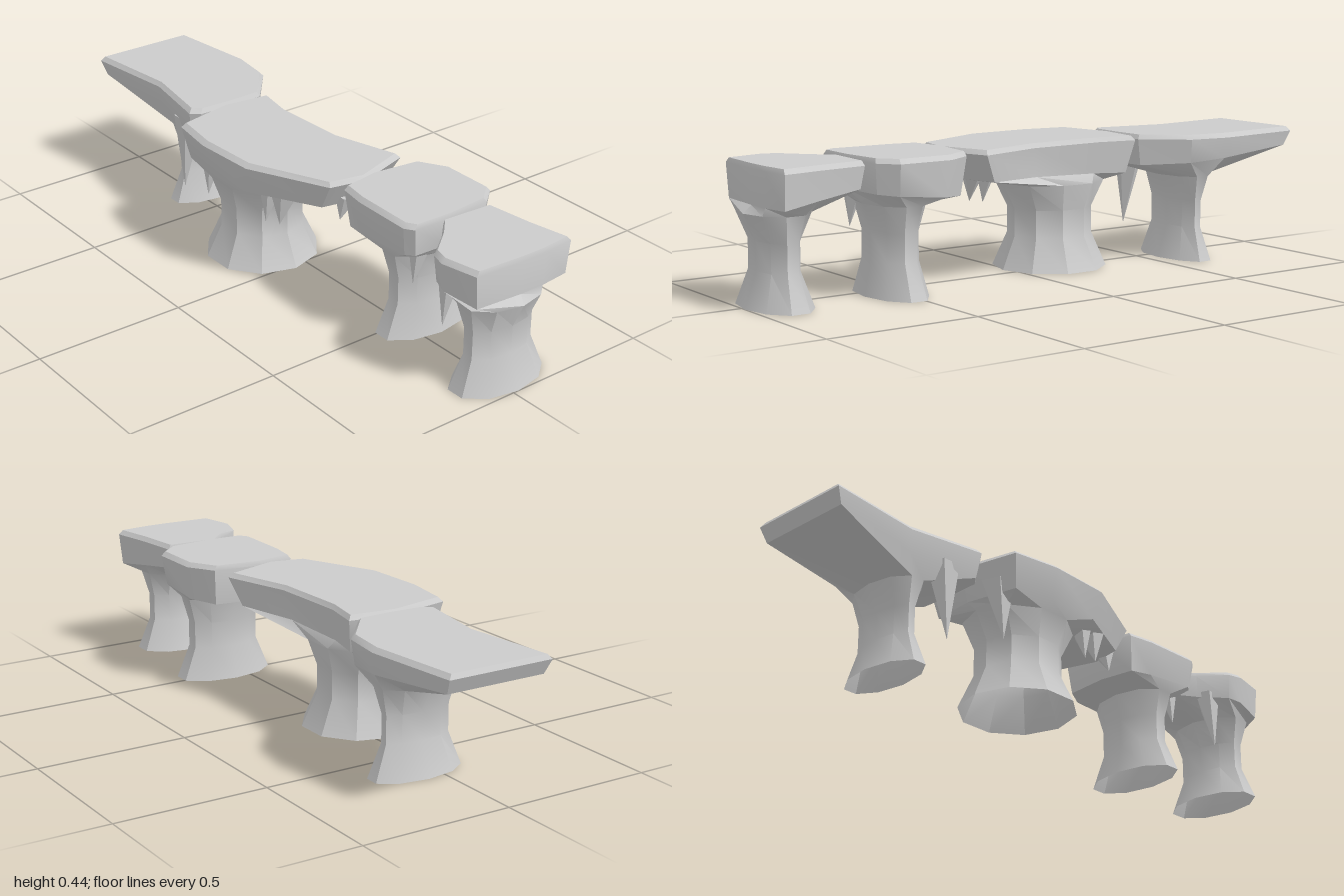
import * as THREE from 'three';
import { toCreasedNormals } from 'three/addons/utils/BufferGeometryUtils.js';

const material = new THREE.MeshStandardMaterial({ color: 0xcccccc, side: THREE.DoubleSide });
const mix = THREE.MathUtils.lerp;

// Skin a stack of equal-length rings (top to bottom), closed by a fan at the top.
function loft(rings, topCentre) {
  const n = rings[0].length;
  const top = rings.length * n;
  const index = [];
  for (let i = 0; i < n; i++) {
    const j = (i + 1) % n;
    index.push(top, j, i);
    for (let a = 0; a < top - n; a += n) {
      const b = a + n;
      index.push(a + i, a + j, b + i, a + j, b + j, b + i);
    }
  }
  const geometry = new THREE.BufferGeometry();
  const positions = [...rings.flat(), topCentre].flat();
  geometry.setAttribute('position', new THREE.Float32BufferAttribute(positions, 3));
  geometry.setIndex(index);
  return toCreasedNormals(geometry, 0.55);
}

// One rock: flat bevelled top, undercut rim, hollow waisted pillar with a flared foot.
// outline: [x, z] from +x towards +z; rim: underside height at the left and right ends;
// foot: [x, z, radius x, radius z]; waist: radius x at the narrowest part.
function rock(name, { top, inset, rim, foot, waist, outline }) {
  const [px, pz, rx, rz] = foot;
  const xs = outline.map((c) => c[0]), zs = outline.map((c) => c[1]);
  const minX = Math.min(...xs), maxX = Math.max(...xs);
  const cx = (minX + maxX) / 2;
  const cz = (Math.min(...zs) + Math.max(...zs)) / 2;

  const ellipse = (y, radiusX, radiusZ) => outline.map((_, i) => {
    const t = (i / outline.length) * Math.PI * 2;
    return [px + radiusX * Math.cos(t), y, pz + radiusZ * Math.sin(t)];
  });
  const rings = [
    outline.map(([x, z]) => [mix(x, cx, 0.03), top, mix(z, cz, 0.07)]),
    outline.map(([x, z]) => [x, top - 0.015, z]),
    outline.map(([x, z]) => {
      const y = mix(rim[0], rim[1], (x - minX) / (maxX - minX));
      return [mix(x, px, inset), y, mix(z, pz, inset)];
    }),
    ellipse(0.285, rx, rz * 0.87),
    ellipse(0.2, waist, rz * 0.73),
    ellipse(0.11, waist, rz * 0.73),
    ellipse(0, rx, rz),
  ];
  const mesh = new THREE.Mesh(loft(rings, [cx, top, cz]), material);
  mesh.name = name;
  return mesh;
}

// Spike hanging from inside the slab, its point sheared towards the front.
function stalactite(x, z, tipY, radius) {
  const rootY = 0.36, h = rootY - tipY;
  const geometry = new THREE.ConeGeometry(radius, h, 5, 2);
  geometry.rotateX(Math.PI);
  geometry.translate(x, rootY - h / 2, z);
  const p = geometry.attributes.position;
  for (let i = 0; i < p.count; i++) {
    p.setZ(i, p.getZ(i) + 0.03 * (rootY - p.getY(i)) / h);
  }
  const mesh = new THREE.Mesh(toCreasedNormals(geometry, 0.6), material);
  mesh.name = 'stalactite';
  return mesh;
}

export function createModel() {
  const model = new THREE.Group();
  model.name = 'rockBridge';

  model.add(rock('leftEndRock', {
    top: 0.433, inset: 0.06, rim: [0.37, 0.33], foot: [-0.623, -0.06, 0.077, 0.163], waist: 0.04,
    outline: [[-0.4, 0], [-0.405, 0.12], [-0.43, 0.15], [-0.68, 0.105], [-1, 0.14],
      [-1, -0.04], [-1, -0.22], [-0.68, -0.255], [-0.54, -0.235], [-0.405, -0.12]],
  }));
  model.add(rock('longMiddleRock', {
    top: 0.433, inset: 0.11, rim: [0.31, 0.33], foot: [-0.165, 0.05, 0.187, 0.192], waist: 0.14,
    outline: [[0.31, 0], [0.285, 0.12], [0.02, 0.245], [-0.2, 0.255], [-0.36, 0.23],
      [-0.4, 0.03], [-0.38, -0.135], [-0.25, -0.11], [0.02, -0.12], [0.25, -0.19]],
  }));
  model.add(rock('squareRock', {
    top: 0.438, inset: 0.08, rim: [0.3, 0.33], foot: [0.523, -0.06, 0.093, 0.173], waist: 0.07,
    outline: [[0.665, -0.03], [0.66, 0.1], [0.63, 0.12], [0.42, 0.115], [0.33, 0.1],
      [0.31, -0.03], [0.33, -0.195], [0.42, -0.25], [0.6, -0.25], [0.65, -0.19]],
  }));
  model.add(rock('rightEndRock', {
    top: 0.433, inset: 0.05, rim: [0.35, 0.31], foot: [0.9, -0.02, 0.1, 0.168], waist: 0.06,
    outline: [[0.98, -0.03], [0.97, 0.14], [0.85, 0.165], [0.8, 0.15], [0.73, 0.06],
      [0.67, 0], [0.68, -0.18], [0.84, -0.2], [0.97, -0.225], [0.98, -0.12]],
  }));

  // root x, root z, tip height, radius
  const spikes = [
    [-0.53, 0.08, 0.1, 0.055], [-0.33, 0.12, 0.16, 0.055], [0.02, 0.14, 0.21, 0.05],
    [0.08, 0.13, 0.22, 0.06], [0.26, 0.03, 0.28, 0.04], [0.6, 0.02, 0.2, 0.045],
    [0.78, 0.06, 0.155, 0.045],
  ];
  spikes.forEach((s) => model.add(stalactite(...s)));
  return model;
}
